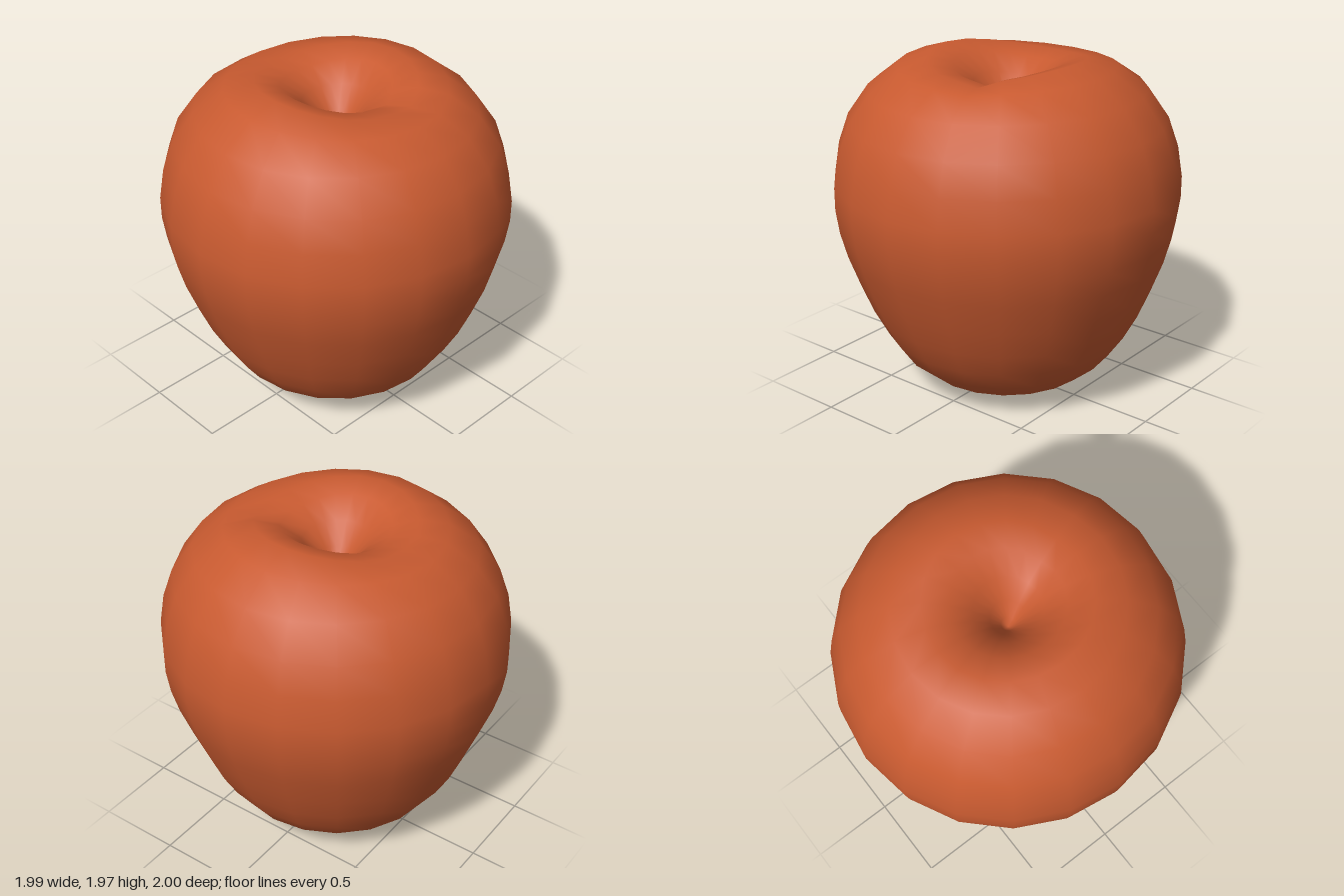
import * as THREE from 'three';
import { mergeVertices } from 'three/addons/utils/BufferGeometryUtils.js';

export function createModel() {
  const group = new THREE.Group();
  group.name = 'apple';
  const skin = new THREE.MeshStandardMaterial({ color: 0xc85a30 });
  skin.name = 'russet red skin';

  // Half outline from the bottom dimple, round the body, into the stem hollow
  const outline = [
    [0, 0.13], [0.06, 0.08], [0.13, 0.03], [0.24, 0.005], [0.37, 0.03],
    [0.5, 0.1], [0.63, 0.21], [0.72, 0.34], [0.8, 0.49], [0.87, 0.66],
    [0.94, 0.85], [0.98, 1.0], [1, 1.14], [1, 1.27], [0.97, 1.45],
    [0.91, 1.62], [0.79, 1.79], [0.62, 1.91], [0.45, 1.945], [0.31, 1.91],
    [0.19, 1.82], [0.1, 1.71], [0.04, 1.62], [0, 1.58],
  ].map(([r, y]) => new THREE.Vector2(r, y));

  let geometry = new THREE.LatheGeometry(outline, 20);
  geometry.deleteAttribute('uv');
  geometry.deleteAttribute('normal');

  // Make the shoulders uneven: high at the sides, dipping at front and back
  const p = geometry.attributes.position;
  for (let i = 0; i < p.count; i++) {
    const x = p.getX(i), y = p.getY(i), z = p.getZ(i);
    const r = Math.hypot(x, z);
    if (y > 1.5 && r > 0.01) {
      const rim = Math.exp(-(((r - 0.42) / 0.22) ** 2));
      const wave = (x * x - z * z) / (r * r);
      const notch = z > 0 ? Math.exp(-(((x / r - 0.27) / 0.16) ** 2)) : 0;
      p.setY(i, y + rim * (0.032 * wave - 0.035 * notch));
    }
    p.setX(i, x * 0.995);
  }

  // Join the seam and the poles so the shading is smooth all round
  geometry = mergeVertices(geometry, 1e-4);
  geometry.computeVertexNormals();

  const body = new THREE.Mesh(geometry, skin);
  body.name = 'appleBody';
  group.add(body);
  return group;
}
